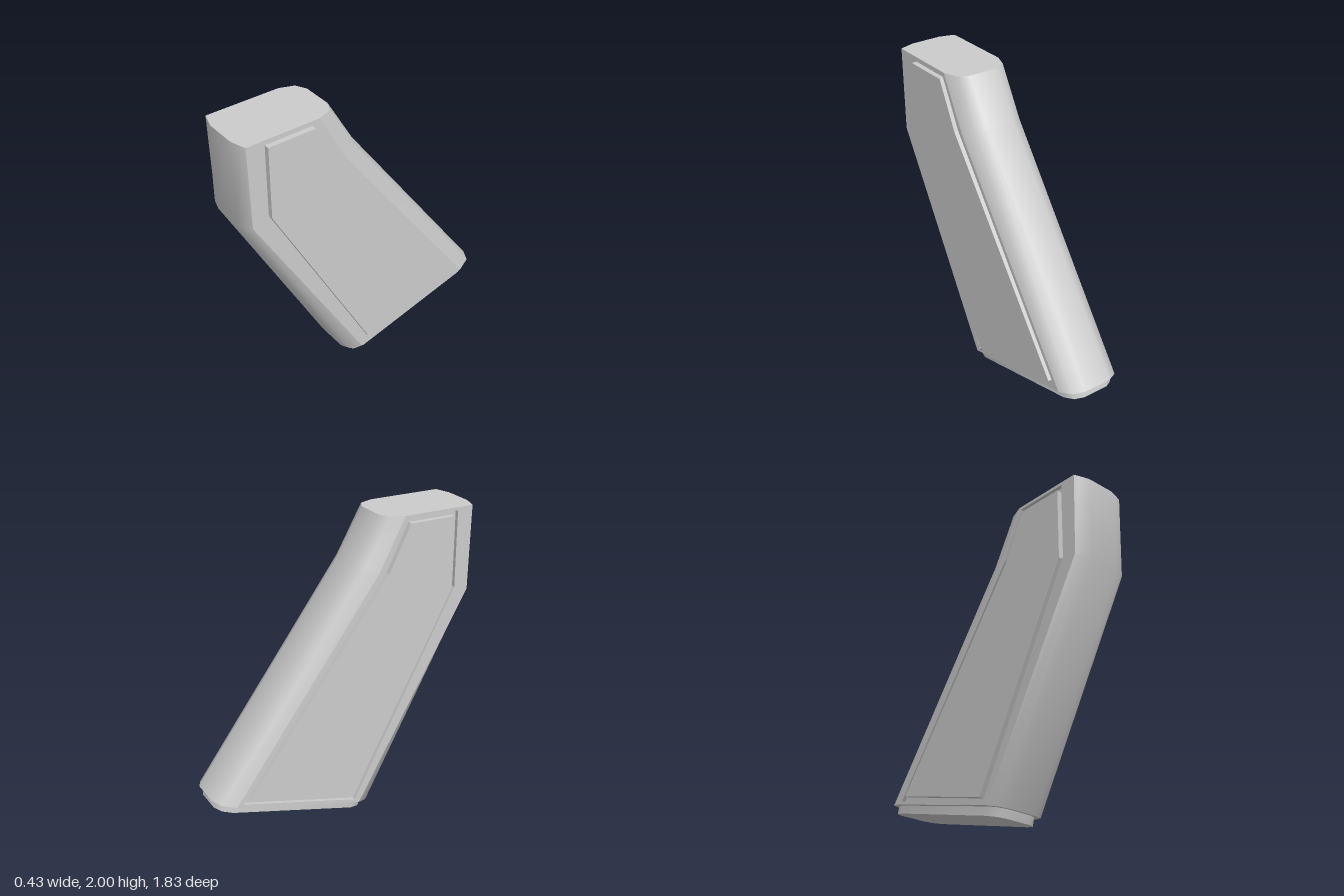
import * as THREE from 'three';
import { toCreasedNormals } from 'three/addons/utils/BufferGeometryUtils.js';

const material = new THREE.MeshStandardMaterial({ color: 0xcccccc });
const SIDE = 0.205, FLOOR = 0.18, PANEL = 0.215;

// Point [z, y] at distance d from a towards b
function along(a, b, d) {
  const t = d / Math.hypot(b[0] - a[0], b[1] - a[1]);
  return [a[0] + (b[0] - a[0]) * t, a[1] + (b[1] - a[1]) * t];
}

// Cross-section loop; front and back are [z, y], the rounding lists hold [half width, setback]
function ring({ front, back, frontRound, backRound }) {
  const half = [
    ...frontRound.map(([x, d]) => [x, ...along(front, back, d)]),
    ...backRound.map(([x, d]) => [x, ...along(back, front, d)]).reverse(),
  ];
  const mirrored = half.map(([x, z, y]) => [-x, z, y]).reverse();
  return [...half, ...mirrored].map(([x, z, y]) => new THREE.Vector3(x, y, z));
}

// Skin between sections listed from bottom to top, with flat caps
function loft(sections, capSections = sections) {
  const rings = sections.map(ring);
  const tris = [];
  for (let s = 0; s + 1 < rings.length; s++) {
    const a = rings[s], b = rings[s + 1];
    for (let i = 0; i < a.length; i++) {
      const j = (i + 1) % a.length;
      tris.push(a[i], a[j], b[j], a[i], b[j], b[i]);
    }
  }
  const low = ring(capSections[0]), high = ring(capSections[capSections.length - 1]);
  for (let i = 1; i + 1 < low.length; i++) {
    tris.push(low[0], low[i + 1], low[i], high[0], high[i], high[i + 1]);
  }
  return toCreasedNormals(new THREE.BufferGeometry().setFromPoints(tris), 0.9);
}

// Flat plate on one side, spanning x = from..to, outlined by [z, y] points
function sidePlate(side, outline, from, to, hole) {
  const points = (list) => list.map(([z, y]) => new THREE.Vector2(-side * z, y));
  const shape = new THREE.Shape(points(outline));
  if (hole) shape.holes.push(new THREE.Path(points(hole)));
  return new THREE.ExtrudeGeometry(shape, { depth: to - from, bevelEnabled: false })
    .translate(0, 0, from)
    .rotateY(side * Math.PI / 2);
}

export function createModel() {
  const group = new THREE.Group();
  const add = (name, geometry) => {
    const mesh = new THREE.Mesh(geometry, material);
    mesh.name = name;
    group.add(mesh);
  };

  // Grip body: slanted bottom, bend, level top
  const backRound = [[0.1, 0], [0.17, 0.035], [SIDE, 0.13]];
  const sections = [
    { front: [0.185, 0.05], back: [-0.913, 0.325], frontRound: [[0.1, 0], [0.17, 0.03], [SIDE, 0.1]], backRound },
    { front: [0.915, 1.43], back: [0.09, 1.7], frontRound: [[0.1, 0], [0.17, 0.022], [SIDE, 0.045]], backRound },
    { front: [0.915, 2], back: [0.263, 2], frontRound: [[0.1, 0], [0.17, 0.02], [SIDE, 0.032]], backRound },
  ];
  // The core steps inward at the sides to form the floor of each recess
  const core = sections.map((s) => ({
    ...s,
    frontRound: [...s.frontRound, [FLOOR, s.frontRound[2][1]]],
    backRound: [...s.backRound, [FLOOR, s.backRound[2][1]]],
  }));
  add('gripBody', loft(core, sections));

  // Side walls with a recess, and the raised panel sitting inside it
  const wall = [
    ...sections.map((s) => along(s.front, s.back, s.frontRound[2][1])),
    ...sections.map((s) => along(s.back, s.front, s.backRound[2][1])).reverse(),
  ];
  const recess = [[0.775, 1.98], [0.41, 1.98], [0.252, 1.665], [-0.745, 0.305], [0.055, 0.105], [0.775, 1.475]];
  const panel = [[0.747, 1.95], [0.427, 1.95], [0.28, 1.65], [-0.7, 0.325], [0.035, 0.135], [0.747, 1.468]];
  for (const [label, side] of [['left', 1], ['right', -1]]) {
    add(label + 'SideWall', sidePlate(side, wall, FLOOR, SIDE, recess));
    add(label + 'GripPanel', sidePlate(side, panel, FLOOR - 0.01, PANEL));
  }

  // Base plate under the slanted bottom
  const plateRound = [[0.09, 0], [0.145, 0.03], [0.172, 0.1]];
  const plate = { frontRound: plateRound, backRound: plateRound };
  add('basePlate', loft([
    { ...plate, front: [0.142, 0.002], back: [-0.898, 0.268] },
    { ...plate, front: [0.158, 0.064], back: [-0.882, 0.325] },
  ]));

  return group;
}
